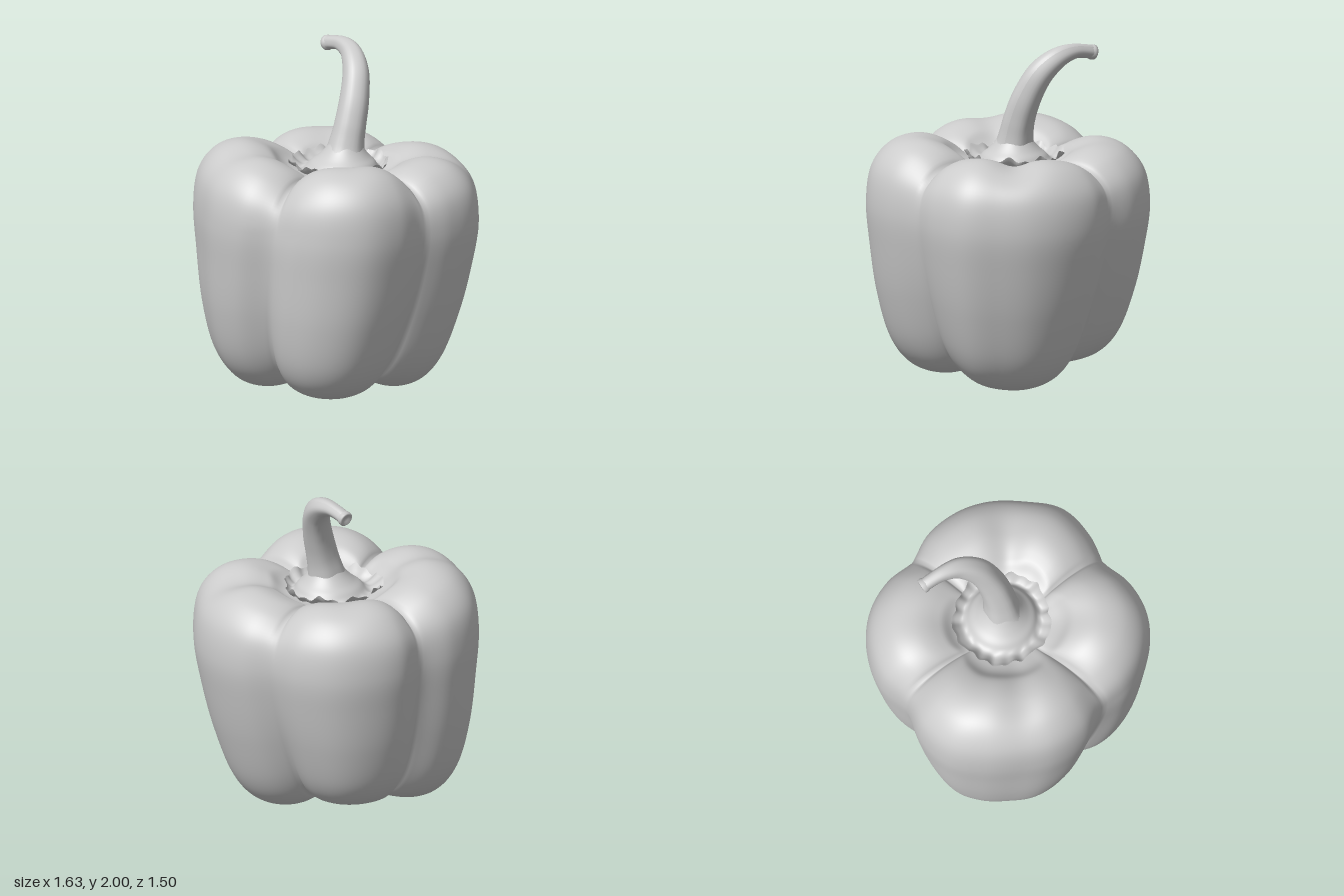
import * as THREE from 'three';

const RAD = Math.PI / 180;
const { lerp: mix, smoothstep } = THREE.MathUtils;
const spline = pts => new THREE.SplineCurve(pts.map(p => new THREE.Vector2(...p)));

// Skin over a grid: u runs round the vertical axis (closed), v along the profile
function ringSurface(nu, nv, point) {
  const pos = [], index = [];
  for (let j = 0; j <= nv; j++)
    for (let i = 0; i < nu; i++) pos.push(...point((i / nu) * 360, j / nv));
  for (let j = 0; j < nv; j++)
    for (let i = 0; i < nu; i++) {
      const k = (i + 1) % nu, a = j * nu + i, b = j * nu + k, c = a + nu, d = b + nu;
      index.push(a, b, d, a, d, c);
    }
  const g = new THREE.BufferGeometry();
  g.setAttribute('position', new THREE.Float32BufferAttribute(pos, 3));
  g.setIndex(index);
  g.computeVertexNormals();
  return g;
}

// Widest radius every 15 degrees, from the front round through +x
const OUTLINE = [0.73, 0.785, 0.825, 0.835, 0.795, 0.74, 0.795, 0.845, 0.83, 0.83, 0.815, 0.785,
  0.73, 0.78, 0.815, 0.815, 0.795, 0.735, 0.805, 0.845, 0.83, 0.81, 0.815, 0.79];
function outline(deg) {
  const n = OUTLINE.length, f = deg / 15, i = Math.floor(f), t = f - i;
  const [a, b, c, d] = [-1, 0, 1, 2].map(k => OUTLINE[(i + k + n) % n]);
  return b + 0.5 * t * (c - a + t * (2 * a - 5 * b + 4 * c - d + t * (3 * (b - c) + d - a)));
}

// Profiles (share of radius, height) along a lobe crest and along a groove
const crest = spline([[0, 0.17], [0.14, 0.13], [0.3, 0.04], [0.48, 0], [0.67, 0.06], [0.81, 0.22],
  [0.91, 0.5], [0.97, 0.8], [1, 1.05], [0.965, 1.27], [0.84, 1.41], [0.66, 1.46], [0.48, 1.42],
  [0.33, 1.31], [0, 1.24]]);
const groove = spline([[0, 0.17], [0.1, 0.15], [0.25, 0.12], [0.42, 0.11], [0.57, 0.17], [0.71, 0.31],
  [0.84, 0.55], [0.93, 0.8], [0.975, 1.02], [0.94, 1.18], [0.8, 1.27], [0.62, 1.3], [0.46, 1.29],
  [0.33, 1.27], [0, 1.24]]);

// Lobes between grooves: top and bottom offsets, and a shallow dip across the shoulder
const LOBES = [
  { from: 2, to: 78, top: 0.002, bottom: 0.035, dipAt: 40, dip: 0.08 },
  { from: 78, to: 180, top: -0.025, bottom: 0, dipAt: 128, dip: 0.5 },
  { from: 180, to: 254, top: -0.015, bottom: 0.11, dipAt: 217, dip: 0.12 },
  { from: 254, to: 362, top: 0.013, bottom: 0.02, dipAt: 318, dip: 0.2 },
];

function bodyPoint(deg, v) {
  const a = deg < 2 ? deg + 360 : deg;
  const lobe = LOBES.find(l => a >= l.from && a <= l.to);
  const u = (a - lobe.from) / (lobe.to - lobe.from);
  const front = Math.cos(deg * RAD), side = Math.sin(deg * RAD);
  const shoulder = smoothstep(v, 0.55, 0.78);
  // Grooves are creased at the shoulder and softer down the sides
  const bulge = Math.pow(Math.max(0, Math.sin(Math.PI * u)), mix(0.68, 0.55, shoulder))
    - lobe.dip * shoulder * Math.exp(-(((a - lobe.dipAt) / 13) ** 2));
  const c = crest.getPoint(v), g = groove.getPoint(v);
  const top = lobe.top - 0.035 * Math.max(0, -front);
  const offset = mix(lobe.bottom, top, smoothstep(v, 0.2, 0.7)) * Math.min(1, c.x * 2);
  const r = mix(g.x, c.x, bulge) * outline(deg);
  const y = mix(g.y, c.y + offset, bulge);
  // Grooves drift sideways, and the whole fruit leans, toward the bottom
  const twist = Math.max(0, 1 - y / 1.1) * (4 * Math.max(0, side) - 12 * Math.max(0, front));
  const phi = (deg + twist) * RAD;
  const lean = 1 - smoothstep(y, 0.1, 1.1);
  return [r * Math.sin(phi) - 0.03 * lean, y, r * Math.cos(phi) + 0.045 * lean];
}

// Crinkled collar, from the ragged rim in to the foot of the stem
const collar = spline([[0.285, 1.35], [0.265, 1.325], [0.235, 1.305], [0.21, 1.315], [0.185, 1.345],
  [0.15, 1.375], [0.115, 1.415], [0.08, 1.47]]);
function collarPoint(deg, v) {
  const p = collar.getPoint(v), a = deg * RAD;
  const rim = Math.max(0, 1 - v * 2.2);
  const r = p.x * (1 + rim * (0.03 * Math.sin(5 * a) + 0.02 * Math.sin(13 * a + 1) + 0.015 * Math.sin(22 * a)));
  const y = p.y + rim * (0.013 * Math.sin(9 * a + 2) + 0.01 * Math.sin(19 * a));
  return [0.03 * v + r * Math.sin(a), y, -0.035 - 0.02 * v + r * Math.cos(a)];
}

// Tapered, bent stem: a unit tube pulled in to the radius at each ring
function stemGeometry() {
  const path = new THREE.CatmullRomCurve3([[0.03, 1.28, -0.03], [0.03, 1.4, -0.055],
    [0.04, 1.55, -0.093], [0.035, 1.7, -0.15], [0, 1.84, -0.222], [-0.075, 1.925, -0.292],
    [-0.165, 1.952, -0.338], [-0.25, 1.943, -0.37], [-0.285, 1.933, -0.382]]
    .map(p => new THREE.Vector3(...p)));
  const radii = spline([0.17, 0.12, 0.1, 0.092, 0.088, 0.083, 0.078, 0.069, 0.055, 0.042, 0.04]
    .map((r, i) => [i, r]));
  const rings = 64, sides = 28;
  const g = new THREE.TubeGeometry(path, rings, 1, sides, false);
  const pos = g.attributes.position, p = new THREE.Vector3();
  for (let i = 0; i < pos.count; i++) {
    const t = Math.floor(i / (sides + 1)) / rings;
    const a = ((i % (sides + 1)) / sides) * Math.PI * 2;
    const c = path.getPointAt(t);
    const r = radii.getPoint(t).y * (1 + 0.03 * Math.sin(5 * a));
    p.fromBufferAttribute(pos, i).sub(c).multiplyScalar(r).add(c);
    pos.setXYZ(i, p.x, p.y, p.z);
  }
  g.computeVertexNormals();
  return { geometry: g, end: path.getPointAt(1), dir: path.getTangentAt(1) };
}

export function createModel() {
  const group = new THREE.Group();
  const skin = new THREE.MeshStandardMaterial({ color: 0xcccccc });
  const thin = new THREE.MeshStandardMaterial({ color: 0xcccccc, side: THREE.DoubleSide });
  const add = (name, geometry, material = skin) => {
    const mesh = new THREE.Mesh(geometry, material);
    mesh.name = name;
    group.add(mesh);
    return mesh;
  };

  add('lobedBody', ringSurface(180, 110, bodyPoint));
  add('collar', ringSurface(144, 28, collarPoint), thin);

  const stem = stemGeometry();
  add('stem', stem.geometry);

  // Cut end of the stem: a slightly swollen, dished knob
  const knob = new THREE.LatheGeometry([[0.036, -0.02], [0.045, 0], [0.044, 0.018], [0.034, 0.022],
    [0.02, 0.012], [0, 0.01]].map(p => new THREE.Vector2(...p)), 20);
  const tip = add('stemTip', knob, thin);
  tip.position.copy(stem.end);
  tip.quaternion.setFromUnitVectors(new THREE.Vector3(0, 1, 0), stem.dir);

  return group;
}
